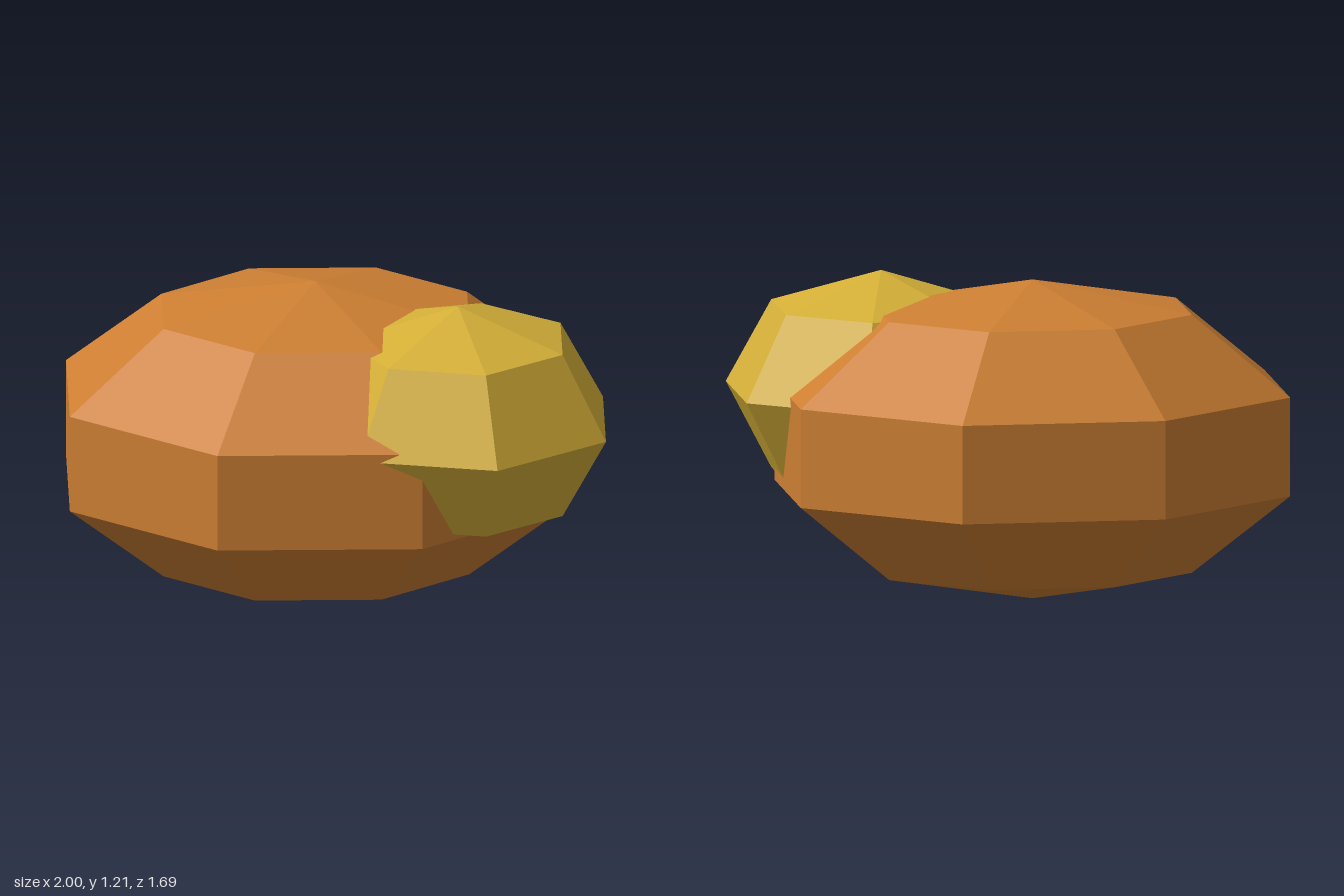
import * as THREE from 'three';

const bronze = new THREE.MeshStandardMaterial({ color: 0xcd7f32, flatShading: true });
bronze.name = 'bronze';
const gold = new THREE.MeshStandardMaterial({ color: 0xd4af37, flatShading: true });
gold.name = 'gold';

// Faceted ellipsoid: unit sphere turned about y, then stretched to its radii
function facetedBall(name, material, sides, rings, turn, radii, position) {
  const geometry = new THREE.SphereGeometry(1, sides, rings)
    .rotateY(turn)
    .scale(...radii)
    .toNonIndexed();
  geometry.computeVertexNormals();
  const mesh = new THREE.Mesh(geometry, material);
  mesh.name = name;
  mesh.position.set(...position);
  return mesh;
}

export function createModel() {
  const group = new THREE.Group();
  group.name = 'nuggets';

  // Large eight-sided body, with flat sides facing the axes
  group.add(facetedBall('body', bronze, 8, 5, Math.PI / 8, [1.053, 0.604, 0.905], [-0.075, 0.604, -0.05]));

  // Smaller seven-sided lump sunk into the front left of the body
  group.add(facetedBall('lump', gold, 7, 4, 0, [0.608, 0.45, 0.608], [0.452, 0.758, 0.252]));

  return group;
}
